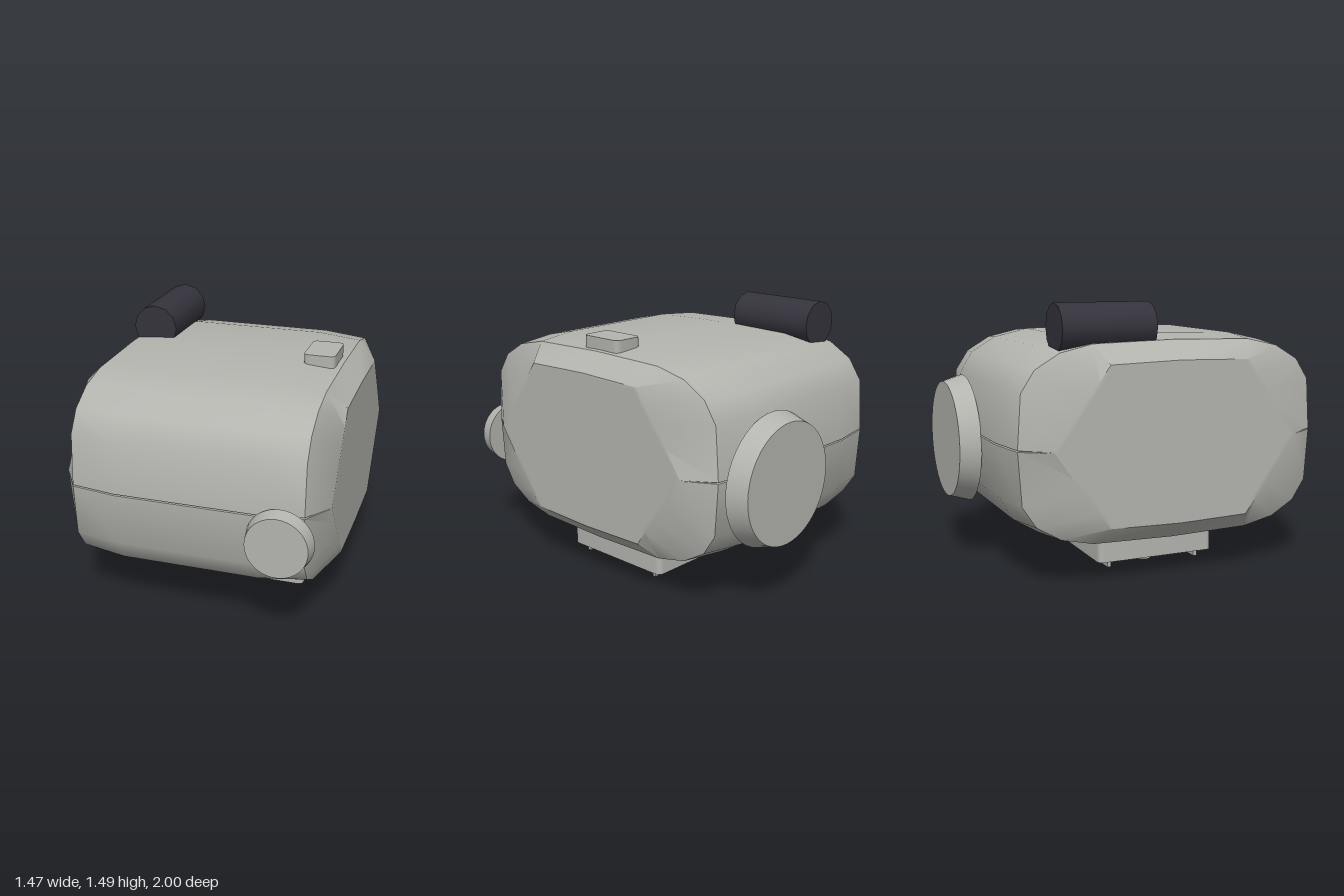
import * as THREE from 'three';
import { toCreasedNormals } from 'three/addons/utils/BufferGeometryUtils.js';

const paint = (name, color) => {
  const m = new THREE.MeshStandardMaterial({ color });
  m.name = name;
  return m;
};

// Cross-section: one quadrant of [z, y] offsets mirrored to a full ring, with a seam point at mid height
function ring(x, seamZ, quadrant) {
  const top = [[seamZ, 0], ...quadrant, ...quadrant.slice(0, -1).reverse().map(([z, y]) => [-z, y])];
  const bottom = top.map(([z, y]) => [-z, -y]);
  return [...top, ...bottom].map(([z, y]) => [x, 0.757 + y, 0.015 + z]);
}

// Skin the rings from -x to +x and close both ends
function loft(rings) {
  const n = rings[0].length, pos = [], index = [];
  rings.forEach(r => r.forEach(p => pos.push(...p)));
  for (let i = 0; i < rings.length - 1; i++) {
    for (let k = 0; k < n; k++) {
      const a = i * n + k, b = i * n + (k + 1) % n, c = a + n, d = b + n;
      index.push(a, c, b, b, c, d);
    }
  }
  const left = pos.length / 3, right = left + 1, last = (rings.length - 1) * n;
  pos.push(rings[0][0][0], 0.757, 0.015, rings.at(-1)[0][0], 0.757, 0.015);
  for (let k = 0; k < n; k++) {
    const j = (k + 1) % n;
    index.push(left, k, j, right, last + j, last + k);
  }
  const g = new THREE.BufferGeometry();
  g.setAttribute('position', new THREE.Float32BufferAttribute(pos, 3));
  g.setIndex(index);
  return toCreasedNormals(g, 0.62);
}

// Upright block with rounded vertical corners
function roundedBlock(x0, x1, y0, y1, z0, z1, r) {
  const s = new THREE.Shape();
  s.moveTo(x0 + r, -z1);
  s.lineTo(x1 - r, -z1);
  s.quadraticCurveTo(x1, -z1, x1, -z1 + r);
  s.lineTo(x1, -z0 - r);
  s.quadraticCurveTo(x1, -z0, x1 - r, -z0);
  s.lineTo(x0 + r, -z0);
  s.quadraticCurveTo(x0, -z0, x0, -z0 - r);
  s.lineTo(x0, -z1 + r);
  s.quadraticCurveTo(x0, -z1, x0 + r, -z1);
  const g = new THREE.ExtrudeGeometry(s, { depth: y1 - y0, bevelEnabled: false, curveSegments: 5 });
  g.rotateX(-Math.PI / 2).translate(0, y0, 0);
  return toCreasedNormals(g, 0.6);
}

export function createModel() {
  const group = new THREE.Group();
  const grey = paint('bodyGrey', 0xb4b4af);
  const black = paint('rubberBlack', 0x35333c);
  const add = (name, geometry, material = grey, x = 0, y = 0, z = 0) => {
    const m = new THREE.Mesh(geometry, material);
    m.name = name;
    m.position.set(x, y, z);
    group.add(m);
  };

  // Rounded body with a mid-height seam and chamfered sides
  const middle = [[0.905, 0.004], [0.885, 0.295], [0.815, 0.415], [0.675, 0.5], [0.475, 0.545], [0, 0.557]];
  const edge = [[0.865, 0.004], [0.845, 0.29], [0.77, 0.405], [0.635, 0.485], [0.455, 0.525], [0, 0.535]];
  const cap = [[0.705, 0.004], [0.61, 0.14], [0.53, 0.25], [0.46, 0.345], [0.4, 0.425], [0, 0.435]];
  const inner = cap.map(([z, y]) => [z * 0.96, y * 0.96]);
  const side = s => [
    ring(s * 0.38, 0.895, middle),
    ring(s * 0.632, 0.855, edge),
    ring(s * 0.737, 0.705, cap),
    ring(s * 0.737, 0.677, inner),
  ];
  add('body', loft([...side(-1).reverse(), ...side(1)]));

  // Tapered round ports on the front and the back
  const front = new THREE.CylinderGeometry(0.165, 0.18, 0.08, 40);
  front.rotateX(Math.PI / 2);
  add('frontPort', front, grey, 0.517, 0.63, 0.96);
  const back = new THREE.CylinderGeometry(0.33, 0.365, 0.113, 48);
  back.rotateX(-Math.PI / 2);
  add('backPort', back, grey, 0.257, 0.69, -0.9435);

  // Dark twelve-sided roll lying on top
  const roll = new THREE.CylinderGeometry(0.13, 0.13, 0.527, 12);
  roll.rotateX(Math.PI / 2);
  add('topRoll', roll, black, -0.522, 1.36, -0.3465);

  // Button on top
  add('topButton', roundedBlock(0.428, 0.603, 1.25, 1.36, -0.117, 0.145, 0.035));

  // Base with two rails and a screw
  add('base', roundedBlock(-0.435, 0.515, 0.055, 0.26, -0.33, 0.37, 0.035));
  for (const z of [0.29, -0.25]) {
    add('rail', new THREE.BoxGeometry(0.865, 0.045, 0.022), grey, 0.042, 0.0355, z);
  }
  add('baseScrew', new THREE.CylinderGeometry(0.042, 0.042, 0.06, 8), grey, -0.262, 0.03, 0.02);

  return group;
}
